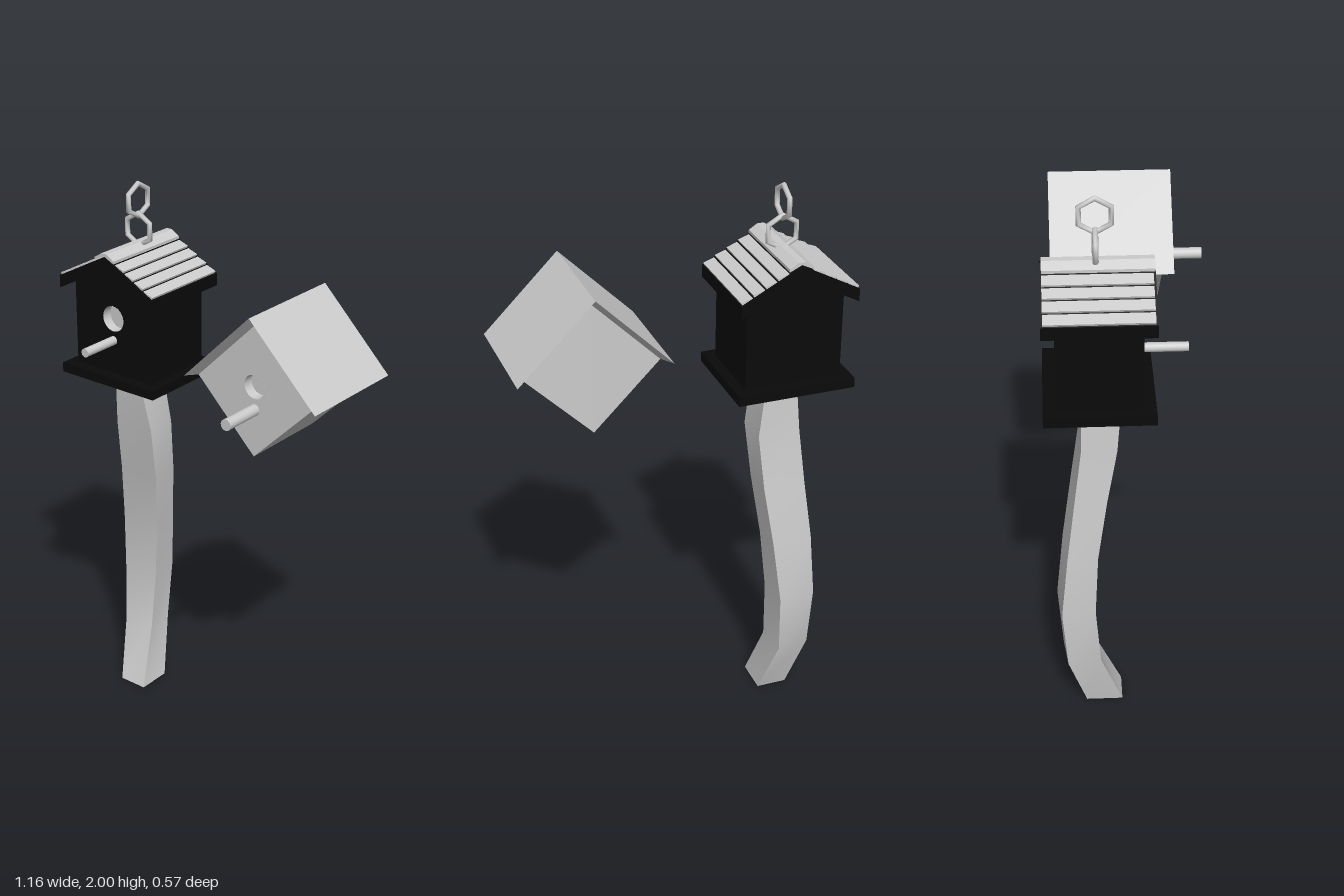
import * as THREE from 'three';

const grey = new THREE.MeshStandardMaterial({ color: 0xcccccc, side: THREE.DoubleSide });
const black = new THREE.MeshStandardMaterial({ color: 0x0a0a0a });

function add(parent, name, geometry, material = grey, x = 0, y = 0, z = 0) {
  const mesh = new THREE.Mesh(geometry, material);
  mesh.name = name;
  mesh.position.set(x, y, z);
  parent.add(mesh);
  return mesh;
}

const outline = (points) => new THREE.Shape(points.map(([x, y]) => new THREE.Vector2(x, y)));

function extrude(shape, z0, z1) {
  const g = new THREE.ExtrudeGeometry(shape, { depth: z1 - z0, bevelEnabled: false, curveSegments: 16 });
  return g.translate(0, 0, z0);
}

// Walls with a recessed round entrance in the front, and a perch below it
function nestBox(parent, points, z0, z1, hole, perch, material) {
  const recess = 0.04;
  const front = outline(points);
  front.holes.push(new THREE.Path().absarc(0, hole.y, hole.r, 0, Math.PI * 2, true));
  add(parent, 'walls', extrude(outline(points), z0, z1 - recess), material);
  add(parent, 'frontWall', extrude(front, z1 - recess, z1), material);
  add(parent, 'entranceBack', new THREE.CircleGeometry(hole.r, 32), grey, 0, hole.y, z1 - recess + 0.001);
  const rim = new THREE.CylinderGeometry(hole.r - 0.0005, hole.r - 0.0005, recess, 32, 1, true).rotateX(Math.PI / 2);
  add(parent, 'entranceRim', rim, grey, 0, hole.y, z1 - recess / 2);
  const length = perch.end - z1 + 0.02;
  const peg = new THREE.CylinderGeometry(perch.r, perch.r, length, 16).rotateX(Math.PI / 2);
  add(parent, 'perch', peg, grey, 0, perch.y, perch.end - length / 2);
}

// Build separate four-cornered faces from corner triples
function quads(list) {
  const pos = list.flatMap(([a, b, c, d]) => [a, b, c, a, c, d].flat());
  const g = new THREE.BufferGeometry();
  g.setAttribute('position', new THREE.Float32BufferAttribute(pos, 3));
  g.computeVertexNormals();
  return g;
}

// Curved square post: each side is a strip, smooth along its length
function postGeometry() {
  // height, centre x, centre z, width, depth, turn
  const levels = [
    [0, -0.377, -0.096, 0.11, 0.128, 0], [0.22, -0.419, -0.174, 0.118, 0.117, 0.12],
    [0.45, -0.419, -0.192, 0.137, 0.117, 0.11], [0.68, -0.403, -0.175, 0.151, 0.105, 0.09],
    [0.9, -0.378, -0.143, 0.157, 0.11, 0.06], [1.1, -0.363, -0.111, 0.155, 0.12, 0.04],
    [1.305, -0.372, -0.097, 0.11, 0.13, 0],
  ];
  const corners = [[-1, 1], [1, 1], [1, -1], [-1, -1]];
  const rings = levels.map(([y, cx, cz, w, d, t]) => corners.map(([i, k]) => {
    const x = i * w / 2, z = k * d / 2;
    return [cx + x * Math.cos(t) + z * Math.sin(t), y, cz - x * Math.sin(t) + z * Math.cos(t)];
  }));
  const pos = [], index = [];
  for (let s = 0; s < 4; s++) {
    const base = pos.length / 3;
    rings.forEach((ring, l) => {
      pos.push(...ring[s], ...ring[(s + 1) % 4]);
      if (l === 0) return;
      const a = base + (l - 1) * 2;
      index.push(a, a + 1, a + 3, a, a + 3, a + 2);
    });
  }
  const b = pos.length / 3;
  rings[0].forEach((p) => pos.push(...p));
  index.push(b, b + 2, b + 1, b, b + 3, b + 2);
  const g = new THREE.BufferGeometry();
  g.setAttribute('position', new THREE.Float32BufferAttribute(pos, 3));
  g.setIndex(index);
  g.computeVertexNormals();
  return g;
}

function darkHouse() {
  const house = new THREE.Group();
  house.name = 'darkBirdhouse';
  house.position.x = -0.375;
  nestBox(house, [[-0.172, 1.32], [0.172, 1.32], [0.172, 1.66], [0, 1.75], [-0.172, 1.66]],
    -0.245, 0.032, { y: 1.539, r: 0.047 }, { y: 1.459, r: 0.016, end: 0.183 }, black);
  add(house, 'basePlate', new THREE.BoxGeometry(0.42, 0.035, 0.36), black, 0, 1.3175, -0.107);

  // Folded roof
  const fold = [[-0.209, 1.62], [0, 1.73], [0.209, 1.62], [0.209, 1.665], [0, 1.776], [-0.209, 1.665]];
  add(house, 'roof', extrude(outline(fold), -0.287, 0.073), black);

  // Overlapping slats on both slopes, lower edges lifted
  for (const side of [-1, 1]) {
    for (let i = 0; i < 4; i++) {
      const d = 0.0625 + i * 0.0417;
      const slat = add(house, 'roofSlat', new THREE.BoxGeometry(0.041, 0.008, 0.346), grey,
        side * d, 1.777 - d * 0.53, -0.107);
      slat.rotation.z = -side * 0.36;
    }
  }
  const cap = [[-0.042, 1.758], [0, 1.778], [0.042, 1.758], [0.042, 1.768], [0.012, 1.787], [-0.012, 1.787], [-0.042, 1.768]];
  add(house, 'ridgeCap', extrude(outline(cap), -0.28, 0.072));

  // Two interlocked six-sided links
  const link = () => new THREE.TorusGeometry(0.058, 0.0095, 8, 6).rotateZ(Math.PI / 2);
  add(house, 'lowerLink', link(), grey, 0, 1.828, -0.112);
  add(house, 'upperLink', link().rotateY(Math.PI / 2), grey, 0, 1.933, -0.112);
  return house;
}

function diamondHouse() {
  const house = new THREE.Group();
  house.name = 'diamondBirdhouse';
  house.position.x = 0.316;
  const mid = 1.483, half = 0.232;
  nestBox(house, [[0, mid - half], [half, mid], [0, mid + half], [-half, mid]],
    -0.205, 0.13, { y: 1.5, r: 0.042 }, { y: 1.419, r: 0.02, end: 0.283 }, grey);

  // Roof flares from the walls out to thin edges
  const out = 0.264, F = 0.168, B = -0.253, f = 0.13, b = -0.205;
  const faces = [];
  for (const s of [-1, 1]) {
    const tip = (z) => [s * out, mid, z], top = (z) => [0, mid + out, z];
    const inTip = (z) => [s * half, mid, z], inTop = (z) => [0, mid + half, z];
    const side = [
      [tip(F), tip(B), top(B), top(F)],
      [tip(F), top(F), inTop(f), inTip(f)],
      [tip(B), inTip(b), inTop(b), top(B)],
      [tip(F), inTip(f), inTip(b), tip(B)],
    ];
    faces.push(...side.map((q) => (s > 0 ? q : q.reverse())));
  }
  add(house, 'flaredRoof', quads(faces));
  return house;
}

export function createModel() {
  const model = new THREE.Group();
  model.name = 'birdhouses';
  add(model, 'post', postGeometry());
  model.add(darkHouse(), diamondHouse());
  return model;
}
